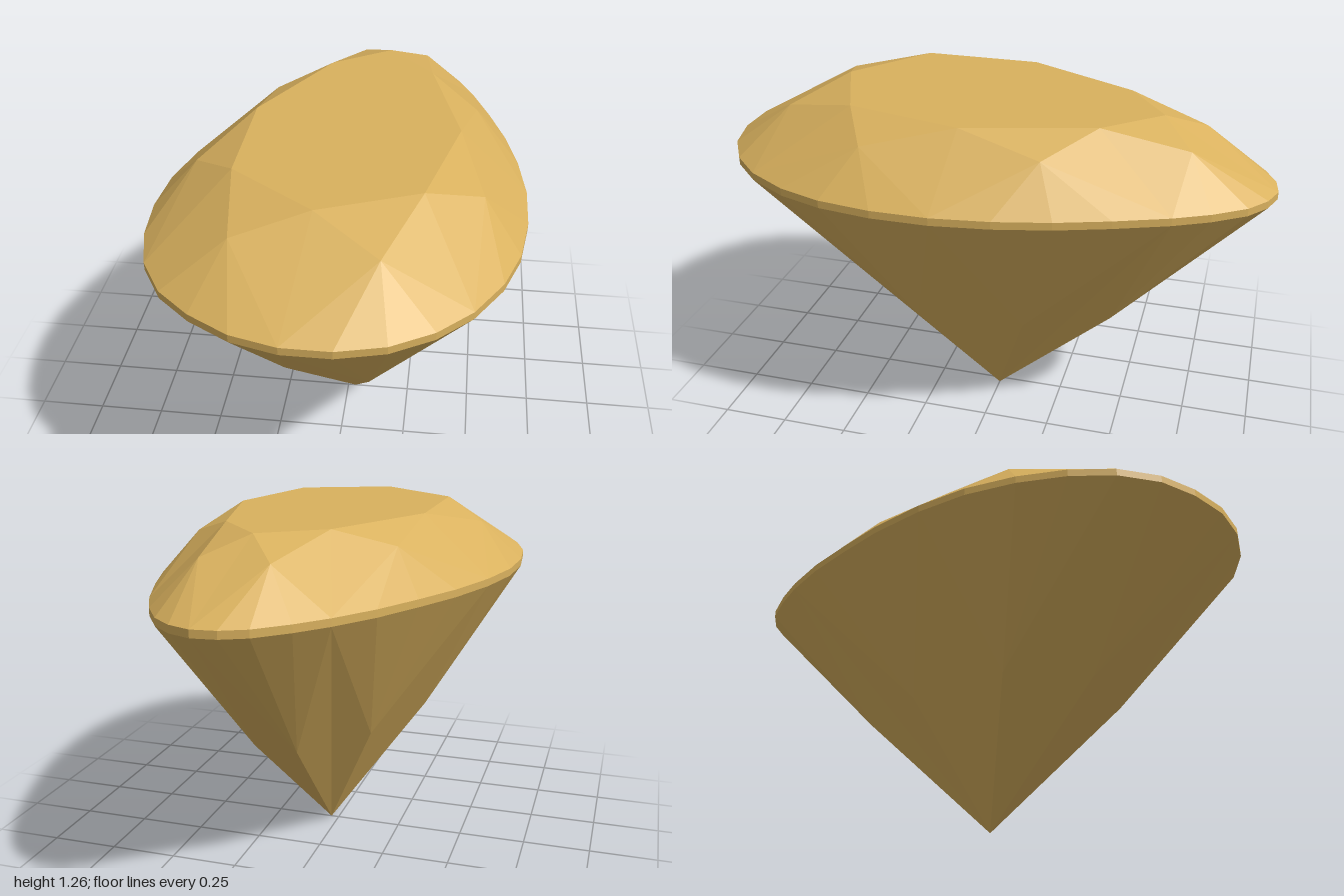
import * as THREE from 'three';

// Pear-shaped girdle outline [x, z], 32 points from the narrow tip round the +x side
const OUTLINE = [
  [0.15, -1], [0.23, -0.97], [0.305, -0.91], [0.38, -0.8],
  [0.44, -0.68], [0.51, -0.5], [0.57, -0.32], [0.615, -0.13],
  [0.642, 0.07], [0.642, 0.27], [0.615, 0.46], [0.56, 0.62],
  [0.47, 0.77], [0.36, 0.88], [0.225, 0.96], [0.07, 1],
  [-0.09, 1], [-0.245, 0.96], [-0.385, 0.88], [-0.5, 0.78],
  [-0.585, 0.64], [-0.63, 0.48], [-0.645, 0.3], [-0.63, 0.11],
  [-0.58, -0.08], [-0.5, -0.28], [-0.41, -0.45], [-0.315, -0.615],
  [-0.21, -0.76], [-0.12, -0.86], [-0.02, -0.95], [0.065, -0.99],
];
const N = OUTLINE.length;
const AXIS_X = 0.03; // the cut is scaled about this axis

// A ring is the outline scaled toward the axis at a given height
const ring = (scale, y) => (i) => {
  const [x, z] = OUTLINE[(i + N) % N];
  return [AXIS_X + (x - AXIS_X) * scale, y, z * scale];
};

// Flat facets: each polygon is a counter-clockwise corner list, fanned into triangles
function facetMesh(name, polygons, material) {
  const pos = [];
  for (const p of polygons) {
    for (let k = 1; k < p.length - 1; k++) pos.push(...p[0], ...p[k], ...p[k + 1]);
  }
  const geo = new THREE.BufferGeometry();
  geo.setAttribute('position', new THREE.Float32BufferAttribute(pos, 3));
  geo.computeVertexNormals();
  const mesh = new THREE.Mesh(geo, material);
  mesh.name = name;
  return mesh;
}

export function createModel() {
  const group = new THREE.Group();
  group.name = 'pearCutGem';
  const gold = new THREE.MeshStandardMaterial({ color: 0xd9b15e });
  gold.name = 'golden gem';

  const tableRing = ring(0.6, 1.265);
  const crownRing = ring(0.78, 1.2);
  const girdleTop = ring(1, 1.05);
  const girdleBottom = ring(1, 1.023);
  const pavilionRing = ring(0.51, 0.475);
  const culet = [AXIS_X, 0, 0];

  const table = [], crown = [], girdle = [], pavilion = [];
  const tableCorners = [];

  // Eight-fold brilliant pattern
  for (let i = 0; i < N; i += 4) {
    tableCorners.unshift(tableRing(i));
    const crownMid = crownRing(i + 2);
    const pavilionMid = pavilionRing(i + 2);

    // star facet and kite facet
    crown.push([tableRing(i), tableRing(i + 4), crownMid]);
    crown.push([tableRing(i), crownMid, girdleTop(i), crownRing(i - 2)]);
    // main pavilion facet
    pavilion.push([culet, pavilionRing(i - 2), girdleBottom(i), pavilionMid]);

    // narrow facets meeting the girdle, and the girdle band
    for (let j = i; j < i + 4; j++) {
      crown.push([crownMid, girdleTop(j + 1), girdleTop(j)]);
      pavilion.push([pavilionMid, girdleBottom(j), girdleBottom(j + 1)]);
      girdle.push([girdleBottom(j + 1), girdleBottom(j), girdleTop(j), girdleTop(j + 1)]);
    }
  }
  table.push(tableCorners);

  group.add(
    facetMesh('table', table, gold),
    facetMesh('crown', crown, gold),
    facetMesh('girdle', girdle, gold),
    facetMesh('pavilion', pavilion, gold),
  );
  return group;
}
